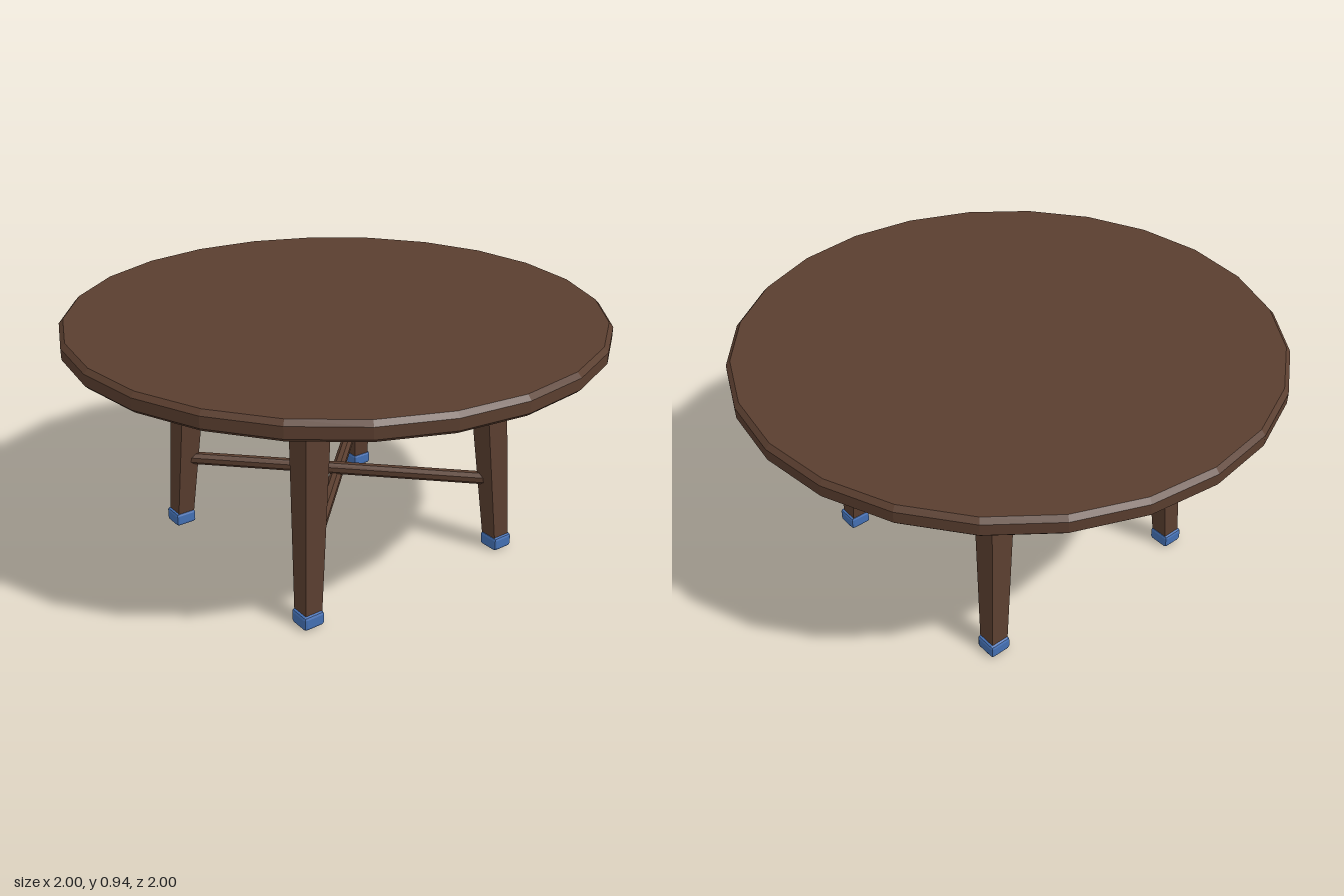
import * as THREE from 'three';
import { RoundedBoxGeometry } from 'three/addons/geometries/RoundedBoxGeometry.js';

export function createModel() {
  const wood = new THREE.MeshStandardMaterial({ color: 0x5a3e2f, flatShading: true });
  wood.name = 'dark wood';
  const blue = new THREE.MeshStandardMaterial({ color: 0x4470b4, flatShading: true });
  blue.name = 'blue foot cap';

  const model = new THREE.Group();
  model.name = 'roundTable';
  const add = (geometry, material, name) => {
    const mesh = new THREE.Mesh(geometry, material);
    mesh.name = name;
    model.add(mesh);
    return mesh;
  };

  // Round top with chamfered rims
  const profile = [[0, 0.875], [0.988, 0.875], [1, 0.887], [1, 0.928], [0.984, 0.945], [0, 0.945]]
    .map(([r, y]) => new THREE.Vector2(r, y));
  add(new THREE.LatheGeometry(profile, 24), wood, 'tableTop');

  // Leg: square section that narrows and splays outward toward the floor
  const legBottom = 0.04, legTop = 0.878;
  const legGeometry = (sx, sz) => {
    const g = new THREE.BoxGeometry(1, 1, 1);
    const p = g.attributes.position;
    for (let i = 0; i < p.count; i++) {
      const top = p.getY(i) > 0;
      const centre = top ? 0.391 : 0.449;
      const width = top ? 0.107 : 0.07;
      p.setXYZ(i, sx * centre + p.getX(i) * width, top ? legTop : legBottom, sz * centre + p.getZ(i) * width);
    }
    g.computeVertexNormals();
    return g;
  };

  for (const sx of [-1, 1]) {
    for (const sz of [-1, 1]) {
      const name = (sz > 0 ? 'front' : 'back') + (sx > 0 ? 'Left' : 'Right');
      add(legGeometry(sx, sz), wood, name + 'Leg');
      add(new RoundedBoxGeometry(0.086, 0.055, 0.086, 1, 0.011), blue, name + 'Foot')
        .position.set(sx * 0.451, 0.0275, sz * 0.451);
    }
  }

  // Apron boards between the leg tops
  ['frontApron', 'leftApron', 'backApron', 'rightApron'].forEach((name, i) => {
    const angle = i * Math.PI / 2;
    const board = add(new RoundedBoxGeometry(0.68, 0.172, 0.05, 1, 0.005), wood, name);
    board.position.set(Math.sin(angle) * 0.4, 0.791, Math.cos(angle) * 0.4);
    board.rotation.y = angle;
  });

  // Crossed diagonal stretchers, one just above the other
  for (const [name, y, side] of [['lowerStretcher', 0.25, 1], ['upperStretcher', 0.29, -1]]) {
    const rod = new THREE.CylinderGeometry(0.025, 0.025, 1.2, 8);
    rod.rotateY(Math.PI / 8);
    rod.rotateZ(Math.PI / 2);
    const mesh = add(rod, wood, name);
    mesh.position.y = y;
    mesh.rotation.y = -side * Math.PI / 4;
  }

  return model;
}
